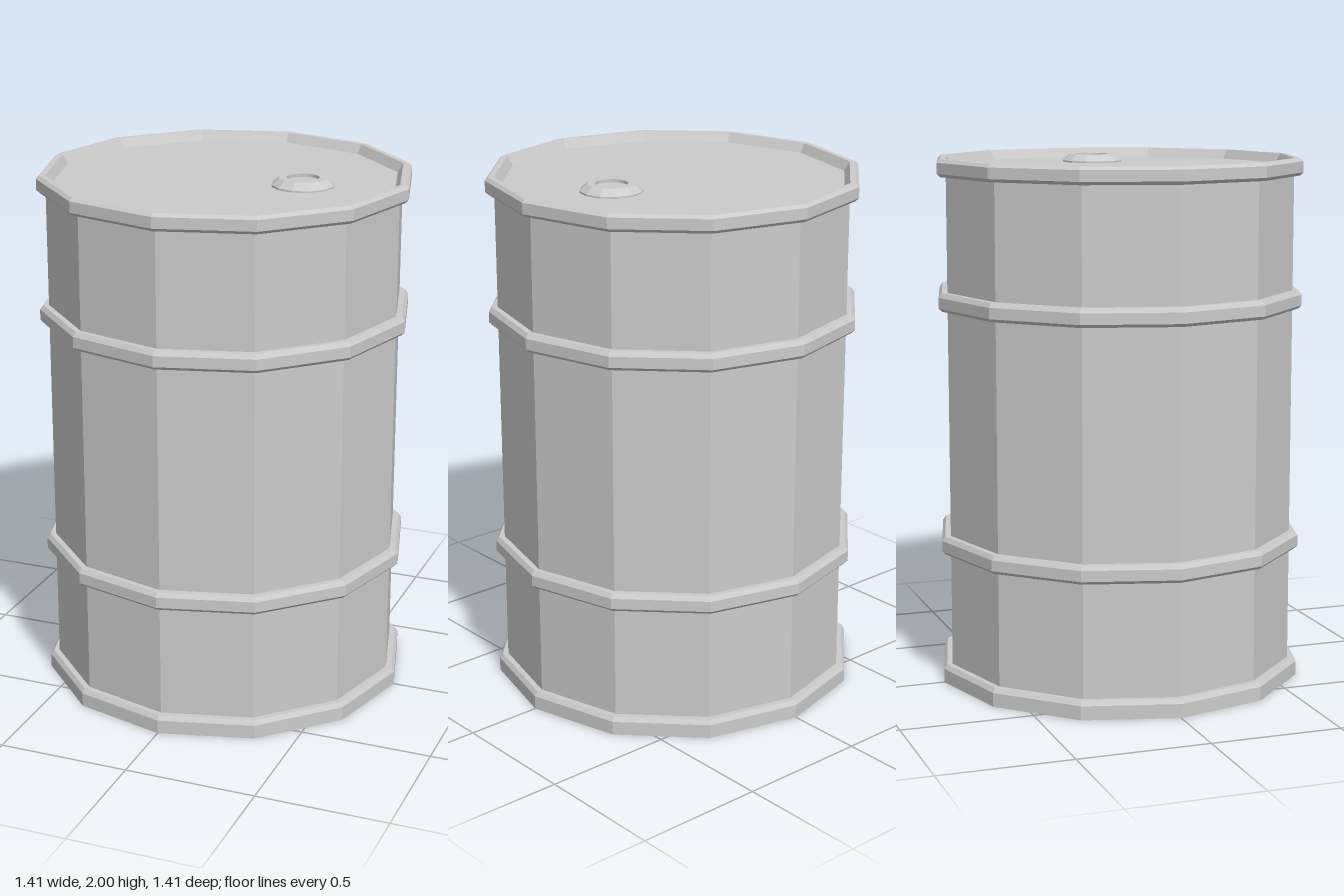
import * as THREE from 'three';

const SIDES = 12;
const BODY_R = 0.672;
const LID_Y = 1.965;

export function createModel() {
  const group = new THREE.Group();
  group.name = 'barrel';
  const material = new THREE.MeshStandardMaterial({ color: 0xcccccc, flatShading: true });

  const addMesh = (name, geometry, parent = group) => {
    const mesh = new THREE.Mesh(geometry, material);
    mesh.name = name;
    parent.add(mesh);
    return mesh;
  };
  // Faceted solid of revolution; profile runs from the bottom up the outside
  const lathe = (profile, sides = SIDES) =>
    new THREE.LatheGeometry(profile.map(([r, y]) => new THREE.Vector2(r, y)), sides);

  // Straight drum wall
  addMesh('body', lathe([[BODY_R, 0.05], [BODY_R, 1.95]]));

  // Two chamfered hoops around the wall
  for (const [name, y] of [['lowerHoop', 0.54], ['upperHoop', 1.47]]) {
    addMesh(name, lathe([
      [BODY_R, -0.035], [0.694, -0.035], [0.706, -0.023],
      [0.706, 0.018], [0.694, 0.035], [BODY_R, 0.035],
    ])).position.y = y;
  }

  // Bottom rim closed by a flat base
  addMesh('base', lathe([
    [0, 0], [0.706, 0], [0.706, 0.053], [0.694, 0.07], [BODY_R, 0.07],
  ]));

  // Top rim sloping inwards to the sunken lid
  addMesh('topRimAndLid', lathe([
    [BODY_R, 1.935], [0.694, 1.935], [0.706, 1.947], [0.706, 1.988],
    [0.694, 2], [BODY_R, 2], [0.652, LID_Y], [0, LID_Y],
  ]));

  // Bung: tapered collar, flat ring and a shallow round recess
  const bung = new THREE.Group();
  bung.name = 'bung';
  bung.position.set(0.302, LID_Y, 0);
  group.add(bung);
  const top = 0.03, collarR = 0.09, holeR = 0.06;
  addMesh('bungCollar', lathe([[0.118, 0], [0.118, 0.006], [collarR, top]]), bung);

  const corners = Array.from({ length: SIDES }, (_, i) => {
    const a = (i / SIDES) * Math.PI * 2;
    return new THREE.Vector2(Math.cos(a) * collarR, Math.sin(a) * collarR);
  });
  const ring = new THREE.Shape(corners);
  ring.holes.push(new THREE.Path().absarc(0, 0, holeR, 0, Math.PI * 2, true));
  addMesh('bungRing', new THREE.ShapeGeometry(ring, 12).rotateX(-Math.PI / 2).translate(0, top, 0), bung);
  addMesh('bungRecess', lathe([[holeR, top], [holeR, top - 0.012], [0, top - 0.012]], 24), bung);

  return group;
}
